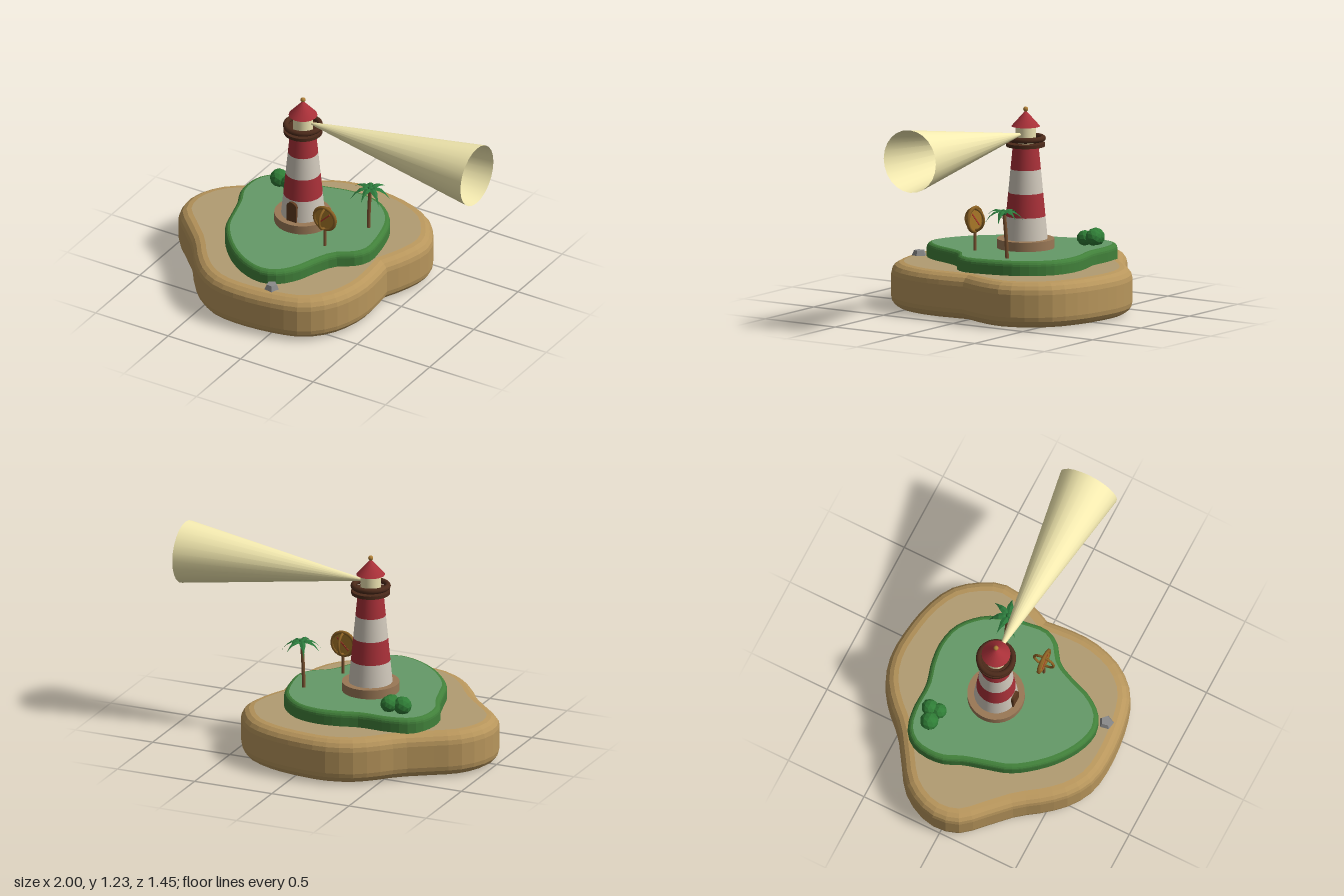
import * as THREE from 'three';

const mat = (color, extra = {}) => new THREE.MeshStandardMaterial({ color, roughness: 0.9, ...extra });
const M = {
  sandSide: mat(0xb8965c), sandTop: mat(0xb29c72),
  grassSide: mat(0x41803a), grassTop: mat(0x659a68),
  stone: mat(0x9a7856), white: mat(0xcfc7ba), red: mat(0xa83038),
  darkWood: mat(0x4c2a1a), door: mat(0x5e3a20), trunk: mat(0x7a5230),
  glass: mat(0xece2b0), gold: mat(0xb08038), rim: mat(0x8c6224), face: mat(0xa87828),
  needle: mat(0xb03a2a), rock: mat(0x8a8a8a, { flatShading: true }),
  bush: mat(0x2f7d36, { flatShading: true }),
  leaf: mat(0x2c7a3c, { flatShading: true, side: THREE.DoubleSide }),
  beam: mat(0xf4eab0, { side: THREE.DoubleSide }),
};

function add(parent, name, geometry, material, x = 0, y = 0, z = 0) {
  const mesh = new THREE.Mesh(geometry, material);
  mesh.name = name;
  mesh.position.set(x, y, z);
  parent.add(mesh);
  return mesh;
}

function group(parent, name, x, y, z) {
  const g = new THREE.Group();
  g.name = name;
  g.position.set(x, y, z);
  parent.add(g);
  return g;
}

// Rounded slab with an outline given as (x, z) points
function slab(outline, divisions, bottom, top, bevelSize, bevelThickness) {
  const pts = outline.map(([x, z]) => new THREE.Vector3(x, z, 0));
  pts.push(pts[0].clone());
  const curve = new THREE.CatmullRomCurve3(pts, false, 'centripetal');
  const edge = curve.getSpacedPoints(divisions).slice(0, -1).map(p => new THREE.Vector2(p.x, p.y));
  return new THREE.ExtrudeGeometry(new THREE.Shape(edge), {
    depth: top - bottom - 2 * bevelThickness, steps: 1,
    bevelSize, bevelThickness, bevelOffset: -bevelSize, bevelSegments: 4,
  }).rotateX(Math.PI / 2).translate(0, top - bevelThickness, 0);
}

const SAND = [
  [0.40, 0], [0.415, 0.15], [0.415, 0.27], [0.39, 0.40], [0.33, 0.53], [0.22, 0.64], [0.08, 0.69],
  [-0.18, 0.72], [-0.37, 0.70], [-0.50, 0.63], [-0.61, 0.52], [-0.72, 0.37], [-0.85, 0.24],
  [-0.97, 0.11], [-1, -0.04], [-0.97, -0.16], [-0.89, -0.28], [-0.74, -0.385], [-0.60, -0.48],
  [-0.48, -0.60], [-0.37, -0.68], [-0.21, -0.727], [-0.02, -0.72], [0.17, -0.68], [0.33, -0.60],
  [0.43, -0.48], [0.49, -0.35], [0.487, -0.24], [0.445, -0.10],
];
const GRASS = [
  [0.315, 0], [0.31, 0.06], [0.27, 0.13], [0.165, 0.21], [0.11, 0.32], [0.06, 0.45], [-0.02, 0.55],
  [-0.12, 0.585], [-0.235, 0.56], [-0.37, 0.48], [-0.49, 0.36], [-0.57, 0.24], [-0.61, 0.11],
  [-0.65, -0.03], [-0.695, -0.13], [-0.705, -0.24], [-0.68, -0.34], [-0.61, -0.41], [-0.48, -0.44],
  [-0.315, -0.44], [-0.18, -0.475], [-0.05, -0.487], [0.085, -0.455], [0.19, -0.37], [0.25, -0.28],
  [0.295, -0.13],
];

function buildLighthouse(root) {
  const g = group(root, 'lighthouse', -0.2, 0, -0.035);
  add(g, 'stoneBase', new THREE.CylinderGeometry(0.17, 0.17, 0.06, 32), M.stone, 0, 0.385, 0);

  // Four tapering bands, white and red by turns
  const radius = i => 0.13 - i * 0.0135;
  for (let i = 0; i < 4; i++) {
    add(g, i % 2 ? 'redBand' : 'whiteBand',
      new THREE.CylinderGeometry(radius(i + 1), radius(i), 0.14, 32),
      i % 2 ? M.red : M.white, 0, 0.48 + i * 0.14, 0);
  }

  // Arched door
  const arch = new THREE.Shape();
  arch.moveTo(-0.034, 0).lineTo(0.034, 0).lineTo(0.034, 0.1);
  arch.absarc(0, 0.1, 0.034, 0, Math.PI, false);
  arch.closePath();
  add(g, 'door', new THREE.ExtrudeGeometry(arch, { depth: 0.05, bevelEnabled: false, curveSegments: 8 }),
    M.door, 0, 0.41, 0.083);

  // Gallery, lantern and roof
  add(g, 'galleryFloor', new THREE.CylinderGeometry(0.115, 0.115, 0.02, 32), M.darkWood, 0, 0.975, 0);
  add(g, 'galleryRail', new THREE.TorusGeometry(0.102, 0.017, 10, 32).rotateX(Math.PI / 2), M.darkWood, 0, 1.013, 0);
  add(g, 'lantern', new THREE.CylinderGeometry(0.06, 0.06, 0.105, 24), M.glass, 0, 1.035, 0);
  add(g, 'roof', new THREE.ConeGeometry(0.085, 0.095, 24), M.red, 0, 1.132, 0);
  add(g, 'finial', new THREE.SphereGeometry(0.015, 12, 8), M.gold, 0, 1.186, 0);

  // Open light cone pointing to +x
  add(g, 'lightBeam', new THREE.CylinderGeometry(0.187, 0.008, 1.14, 24, 1, true).rotateZ(-Math.PI / 2),
    M.beam, 0.63, 1.042, 0);
}

function buildCompass(root) {
  const g = group(root, 'compassSign', 0.062, 0, 0.148);
  add(g, 'post', new THREE.CylinderGeometry(0.009, 0.009, 0.14, 8), M.trunk, 0, 0.42, 0);
  add(g, 'face', new THREE.CylinderGeometry(0.07, 0.07, 0.012, 24).rotateX(Math.PI / 2), M.face, 0, 0.545, 0);
  add(g, 'rim', new THREE.TorusGeometry(0.071, 0.011, 8, 28), M.rim, 0, 0.545, 0);
  add(g, 'crossRing', new THREE.TorusGeometry(0.064, 0.008, 8, 28).rotateY(Math.PI / 2), M.rim, 0, 0.545, 0);
  add(g, 'needle', new THREE.BoxGeometry(0.105, 0.008, 0.018), M.needle, 0, 0.545, 0).rotation.z = Math.PI / 4;
}

// Pointed frond, folded along its midrib and drooping towards the tip
function frondGeometry(length, width, droop) {
  const geo = new THREE.PlaneGeometry(1, 1, 4, 2).rotateX(-Math.PI / 2);
  const p = geo.attributes.position;
  for (let i = 0; i < p.count; i++) {
    const t = p.getX(i) + 0.5;
    const side = p.getZ(i) * 2;
    const half = width / 2 * (0.25 + 0.75 * Math.sin(Math.PI * Math.min(1, t + 0.1))) * (1 - t * t * t);
    p.setXYZ(i, t * length, 0.08 * t * (1 - t) - droop * t * t - Math.abs(side) * half * 0.4, side * half);
  }
  geo.computeVertexNormals();
  return geo;
}

function buildPalm(root) {
  const g = group(root, 'palm', 0.175, 0.35, -0.162);
  const path = new THREE.CatmullRomCurve3([
    new THREE.Vector3(0, 0, 0), new THREE.Vector3(0.006, 0.14, 0.004), new THREE.Vector3(0.018, 0.285, 0.01),
  ]);
  add(g, 'trunk', new THREE.TubeGeometry(path, 8, 0.011, 8), M.trunk);
  add(g, 'crown', new THREE.IcosahedronGeometry(0.018, 1), M.leaf, 0.018, 0.285, 0.01);
  for (let i = 0; i < 7; i++) {
    const frond = add(g, 'frond', frondGeometry(0.122, 0.042, i % 2 ? 0.035 : 0.06), M.leaf, 0.018, 0.288, 0.01);
    frond.rotation.y = (i / 7) * Math.PI * 2 + 0.3;
  }
}

export function createModel() {
  const root = new THREE.Group();
  root.name = 'lighthouseIsland';

  add(root, 'sand', slab(SAND, 56, 0, 0.275, 0.075, 0.07), [M.sandTop, M.sandSide]);
  add(root, 'grass', slab(GRASS, 64, 0.23, 0.36, 0.03, 0.03), [M.grassTop, M.grassSide]);

  buildLighthouse(root);
  buildCompass(root);
  buildPalm(root);

  // Bush of three faceted balls
  const bush = group(root, 'bush', 0, 0, 0);
  for (const [x, y, z, r] of [[-0.53, 0.402, -0.308, 0.056], [-0.457, 0.412, -0.342, 0.05], [-0.45, 0.405, -0.285, 0.047]]) {
    add(bush, 'leafBall', new THREE.IcosahedronGeometry(r, 1), M.bush, x, y, z);
  }

  // Beach rock
  add(root, 'rock', new THREE.CylinderGeometry(0.032, 0.053, 0.05, 5), M.rock, -0.025, 0.28, 0.605).rotation.y = 0.5;

  return root;
}
